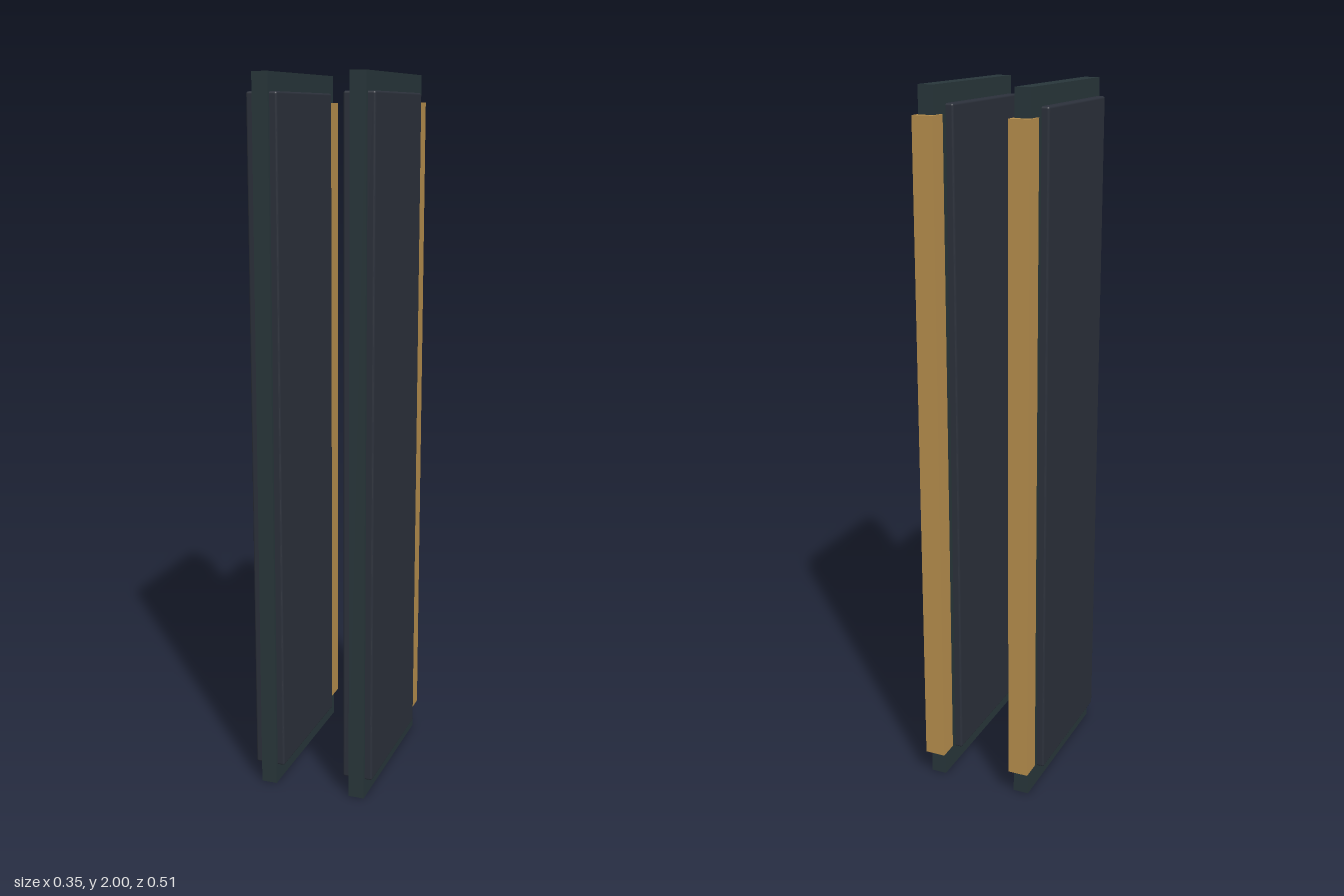
import * as THREE from 'three';
import { RoundedBoxGeometry } from 'three/addons/geometries/RoundedBoxGeometry.js';

const boardMaterial = new THREE.MeshStandardMaterial({ color: 0x28363a });
const panelMaterial = new THREE.MeshStandardMaterial({ color: 0x2b303a });
const stripMaterial = new THREE.MeshStandardMaterial({ color: 0xb58d4c });

function addPart(parent, name, geometry, material, y, z) {
  const mesh = new THREE.Mesh(geometry, material);
  mesh.name = name;
  mesh.position.set(0, y, z);
  parent.add(mesh);
}

// One upright slab: core board, padded panel around it, strip on the rear edge
function createSlab(name) {
  const slab = new THREE.Group();
  slab.name = name;
  addPart(slab, 'coreBoard', new THREE.BoxGeometry(0.045, 2, 0.49), boardMaterial, 1, 0.011);
  addPart(slab, 'paddedPanel', new RoundedBoxGeometry(0.087, 1.896, 0.413, 3, 0.006), panelMaterial, 1.002, 0.04);
  addPart(slab, 'rearStrip', new THREE.BoxGeometry(0.059, 1.85, 0.059), stripMaterial, 1, -0.228);
  return slab;
}

export function createModel() {
  const model = new THREE.Group();
  model.name = 'slabPair';
  for (const side of [-1, 1]) {
    const slab = createSlab(side > 0 ? 'leftSlab' : 'rightSlab');
    slab.position.x = side * 0.1335;
    model.add(slab);
  }
  return model;
}
